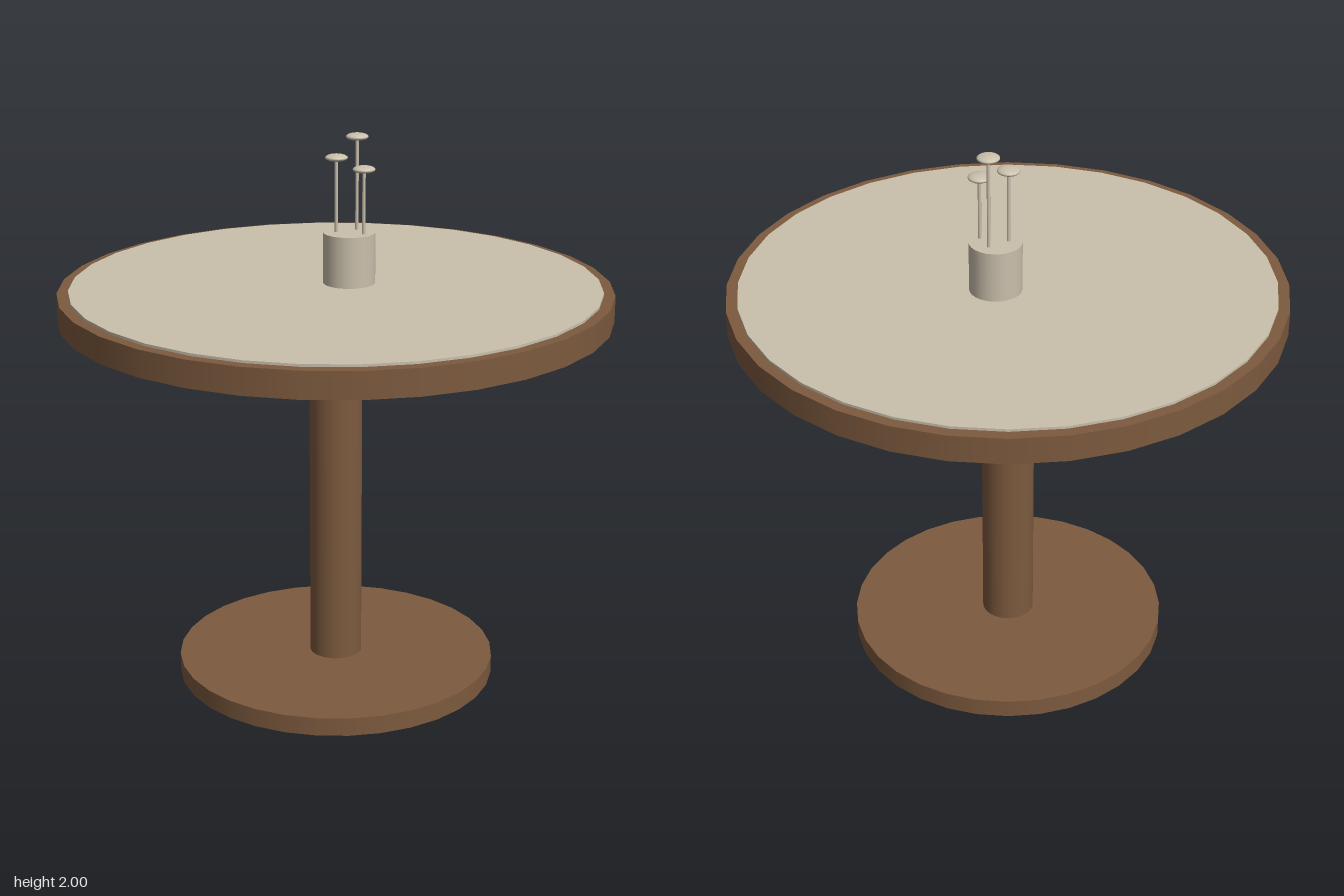
import * as THREE from 'three';

export function createModel() {
  const group = new THREE.Group();
  group.name = 'pedestalTable';

  const wood = new THREE.MeshStandardMaterial({ color: 0x7d5a3e });
  wood.name = 'brown wood';
  const cream = new THREE.MeshStandardMaterial({ color: 0xcac0ac });
  cream.name = 'cream';

  // Upright cylinder between two heights
  function disc(name, radius, bottom, top, material, x = 0, z = 0, sides = 32) {
    const geometry = new THREE.CylinderGeometry(radius, radius, top - bottom, sides);
    const mesh = new THREE.Mesh(geometry, material);
    mesh.name = name;
    mesh.position.set(x, (bottom + top) / 2, z);
    group.add(mesh);
    return mesh;
  }

  // Table: foot, column (stopping just short of the top), top and inlay
  disc('base', 0.58, 0, 0.067, wood);
  disc('column', 0.095, 0.067, 1.335, wood);
  disc('tableTop', 0.98, 1.368, 1.463, wood);
  disc('topInlay', 0.94, 1.463, 1.472, cream);

  // Vase, set slightly off centre
  disc('vase', 0.093, 1.472, 1.655, cream, 0.05, -0.035, 24);

  // Flowers: thin stems with flattened round heads
  const flowers = [[0.005, 1.92, -0.037], [0.08, 1.987, -0.067], [0.098, 1.885, 0.002]];
  flowers.forEach(([x, y, z], i) => {
    disc(`flowerStem${i + 1}`, 0.006, 1.6, y, cream, x, z, 8);
    const head = new THREE.Mesh(new THREE.SphereGeometry(0.04, 20, 12), cream);
    head.name = `flowerHead${i + 1}`;
    head.scale.y = 0.32;
    head.position.set(x, y, z);
    group.add(head);
  });

  return group;
}
